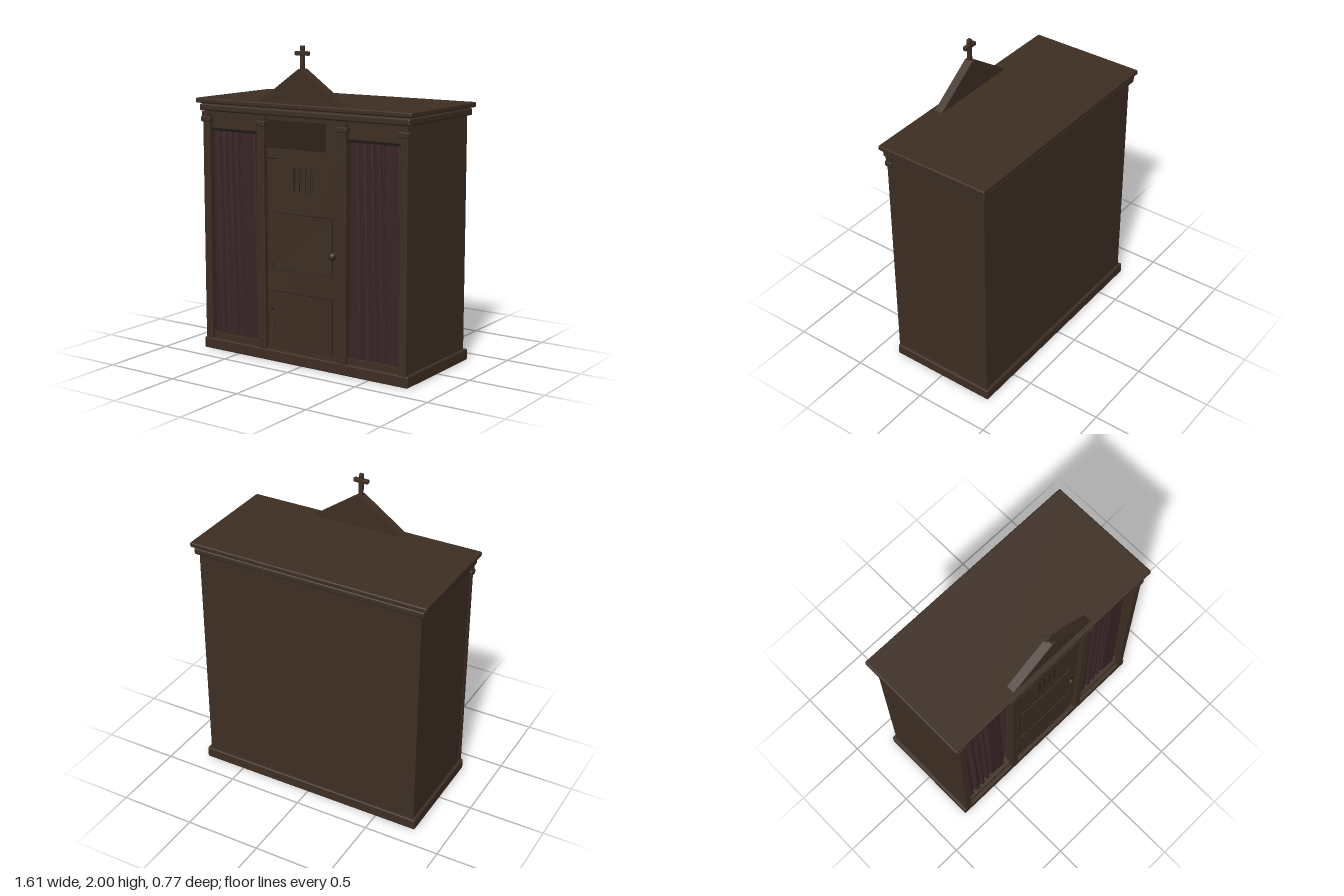
import * as THREE from 'three';
import { RoundedBoxGeometry } from 'three/addons/geometries/RoundedBoxGeometry.js';

export function createModel() {
  const model = new THREE.Group();
  model.name = 'confessional';
  const mat = (name, color, side = THREE.FrontSide) => {
    const m = new THREE.MeshStandardMaterial({ color, side });
    m.name = name;
    return m;
  };
  const wood = mat('dark wood', 0x3e2e23);
  const iron = mat('dark iron', 0x1d1713);
  const cloth = mat('plum cloth', 0x3a2427, THREE.DoubleSide);

  const add = (name, geo, material = wood, parent = model) => {
    const mesh = new THREE.Mesh(geo, material);
    mesh.name = name;
    parent.add(mesh);
    return mesh;
  };
  // Box given by its limits on each axis, optionally with rounded edges
  const box = (name, x0, x1, y0, y1, z0, z1, material = wood, r = 0) => {
    const s = [x1 - x0, y1 - y0, z1 - z0];
    const geo = r ? new RoundedBoxGeometry(...s, 2, r) : new THREE.BoxGeometry(...s);
    geo.translate((x0 + x1) / 2, (y0 + y1) / 2, (z0 + z1) / 2);
    return add(name, geo, material);
  };

  // Base and stepped cornice
  box('base', -0.78, 0.78, 0, 0.072, -0.37, 0.36, wood, 0.008);
  box('frieze', -0.76, 0.76, 1.54, 1.57, -0.35, 0.35);
  box('lowerCornice', -0.785, 0.785, 1.565, 1.61, -0.375, 0.372, wood, 0.012);
  box('corniceNeck', -0.77, 0.77, 1.605, 1.62, -0.36, 0.36);
  box('upperCornice', -0.805, 0.805, 1.615, 1.647, -0.386, 0.386, wood, 0.009);

  // Hollow cabinet with three compartments
  box('backWall', -0.76, 0.76, 0.07, 1.56, -0.35, -0.33);
  for (const s of [-1, 1]) {
    const span = (name, a, b, ...rest) => box(name, Math.min(s * a, s * b), Math.max(s * a, s * b), ...rest);
    span('sideWall', 0.74, 0.76, 0.07, 1.56, -0.35, 0.33);
    span('partition', 0.29, 0.325, 0.07, 1.55, -0.33, 0.33);
    span('curtainHeader', 0.325, 0.74, 1.455, 1.55, 0.29, 0.325);
    span('curtainSill', 0.325, 0.74, 0.07, 0.105, 0.28, 0.335);
    span('curtainRail', 0.335, 0.715, 1.44, 1.453, 0.30, 0.334, iron);
    // Pilasters with stepped capitals
    for (const [a, b] of [[0.278, 0.334], [0.714, 0.766]]) {
      span('pilaster', a, b, 0.07, 1.55, 0.325, 0.36, wood, 0.006);
      span('capital', a - 0.01, b + 0.01, 1.495, 1.53, 0.318, 0.37, wood, 0.007);
      span('capitalNeck', a - 0.003, b + 0.003, 1.525, 1.56, 0.322, 0.364);
    }
  }
  box('doorSill', -0.28, 0.28, 0.07, 0.088, 0.28, 0.335);

  // Door, with an open gap above it
  box('door', -0.275, 0.275, 0.092, 1.357, 0.305, 0.33);
  for (const [y0, y1] of [[0.095, 0.453], [0.6, 0.957]]) {
    box('panelGroove', -0.229, 0.224, y0 - 0.003, y1 + 0.003, 0.328, 0.3315, iron);
    box('doorPanel', -0.225, 0.22, y0, y1, 0.328, 0.336);
  }
  for (const x of [-0.065, -0.024, 0.02, 0.062]) {
    box('grilleSlot', x - 0.004, x + 0.004, 1.105, 1.25, 0.328, 0.332, iron);
    box('grilleSlat', x + 0.004, x + 0.013, 1.11, 1.245, 0.328, 0.336);
  }
  box('hinge', -0.275, -0.2, 1.277, 1.296, 0.328, 0.334);
  box('hingeEdge', -0.275, -0.2, 1.294, 1.298, 0.328, 0.335, iron);
  box('lowerHinge', -0.25, -0.225, 0.328, 0.338, 0.328, 0.335, iron);
  const knob = add('doorKnob', new THREE.SphereGeometry(0.021, 16, 10));
  knob.scale.z = 0.6;
  knob.position.set(0.222, 0.73, 0.346);
  add('knobRing', new THREE.TorusGeometry(0.021, 0.005, 8, 20), iron).position.set(0.222, 0.73, 0.338);

  // Curtains: a plane pushed into narrow folds that drift and soften downward
  const folds = [0.0, 0.055, 0.105, 0.15, 0.29];
  for (const [x0, shift] of [[-0.713, 0.045], [0.341, 0.065]]) {
    const geo = new THREE.PlaneGeometry(0.37, 1.345, 96, 12);
    const p = geo.attributes.position;
    for (let i = 0; i < p.count; i++) {
      const u = p.getX(i) + 0.185;
      const down = 0.5 - p.getY(i) / 1.345;
      let z = 0.315 + 0.006 * Math.sin(u * 17);
      folds.forEach((f, k) => {
        const d = (u - shift - f - down * 0.03) / 0.011;
        z -= (0.03 - 0.008 * down * (k % 2)) * Math.exp(-d * d);
      });
      p.setXYZ(i, x0 + u, p.getY(i) + 0.7725, z);
    }
    geo.computeVertexNormals();
    add('curtain', geo, cloth);
  }

  // Pediment and cross
  const tri = new THREE.Shape([[-0.32, 1.645], [0.32, 1.645], [0.012, 1.86], [-0.012, 1.86]]
    .map(([x, y]) => new THREE.Vector2(x, y)));
  const pediment = new THREE.ExtrudeGeometry(tri, { depth: 0.055, bevelEnabled: false });
  add('pediment', pediment.translate(0, 0, 0.3));
  box('crossUpright', -0.013, 0.013, 1.85, 2, 0.318, 0.342, wood, 0.004);
  box('crossBar', -0.05, 0.05, 1.94, 1.966, 0.317, 0.343, wood, 0.004);

  return model;
}
